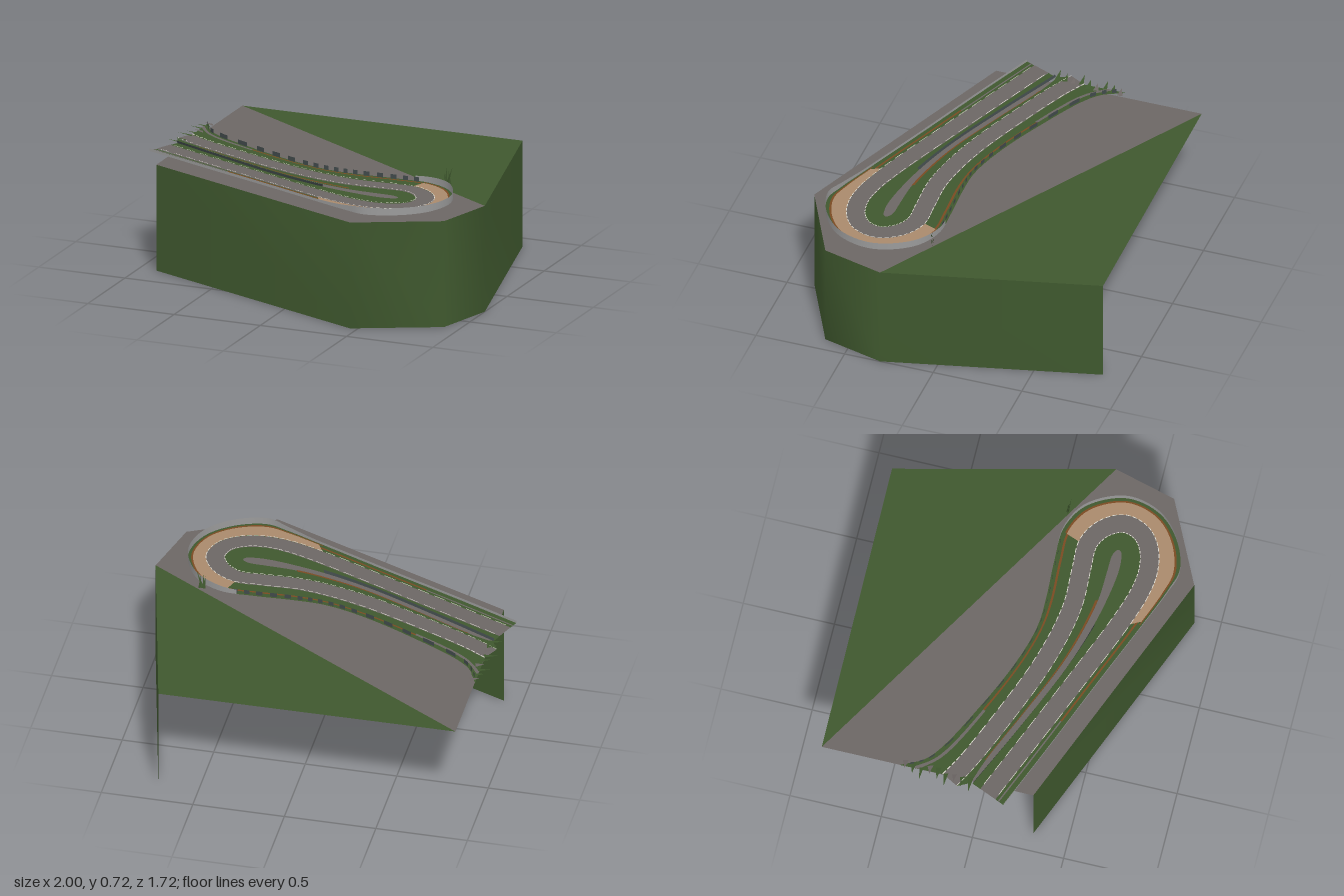
import * as THREE from 'three';

const mat = (name, color, side = THREE.DoubleSide) => {
  const m = new THREE.MeshStandardMaterial({ color, side });
  m.name = name;
  return m;
};

// Each row: road centre, outer verge edge, inner verge edge (x, z pairs)
const ROWS = [
  [-0.93, -0.14, -0.91, -0.42, -0.92, -0.03],
  [-0.8, -0.07, -0.83, -0.28, -0.77, 0.02],
  [-0.5, 0.06, -0.46, -0.07, -0.45, 0.16],
  [-0.2, 0.175, -0.15, 0.06, -0.15, 0.285],
  [0.02, 0.235, 0.04, 0.108, 0.05, 0.345],
  [0.2, 0.262, 0.2, 0.113, 0.25, 0.385],
  [0.4, 0.257, 0.42, 0.105, 0.42, 0.393],
  [0.55, 0.258, 0.6, 0.11, 0.51, 0.397],
  [0.65, 0.32, 0.75, 0.195, 0.54, 0.41],
  [0.7, 0.42, 0.845, 0.4, 0.55, 0.425],
  [0.67, 0.52, 0.8, 0.59, 0.54, 0.44],
  [0.59, 0.58, 0.67, 0.715, 0.5, 0.45],
  [0.47, 0.605, 0.5, 0.77, 0.44, 0.453],
  [0.34, 0.59, 0.38, 0.735, 0.32, 0.44],
  [0.15, 0.53, 0.17, 0.65, 0.1, 0.395],
  [-0.2, 0.39, -0.23, 0.485, -0.17, 0.31],
  [-0.6, 0.225, -0.64, 0.32, -0.56, 0.145],
  [-0.96, 0.075, -1, 0.17, -0.92, -0.02],
];
const LAST = ROWS.length - 1;
const HALF = 0.05;
const Y = 0.615;
const [centre, outer, inner] = [0, 2, 4].map(
  (i) => new THREE.CatmullRomCurve3(ROWS.map((r) => new THREE.Vector3(r[i], 0, r[i + 1])))
);

// Point on the track: row along it, k across it (0 centre, +-1 road edge, +-2 verge edge)
function at(row, k, y) {
  const t = Math.min(Math.max(row / LAST, 0), 1);
  const p = centre.getPoint(t);
  const d = centre.getTangent(t);
  const n = new THREE.Vector3(d.z, 0, -d.x);
  p.addScaledVector(n, HALF * Math.max(-1, Math.min(1, k)));
  if (k > 1) p.lerp(outer.getPoint(t), k - 1);
  if (k < -1) p.lerp(inner.getPoint(t), -k - 1);
  p.y = y;
  return p;
}

// Strip of quads between two point functions of the row
function strip(name, material, from, to, a, b) {
  const n = Math.max(1, Math.ceil((to - from) * 8));
  const pos = [];
  const idx = [];
  for (let i = 0; i <= n; i++) {
    const row = from + ((to - from) * i) / n;
    pos.push(...a(row).toArray(), ...b(row).toArray());
    const j = 2 * i;
    if (i < n) idx.push(j, j + 2, j + 1, j + 1, j + 2, j + 3);
  }
  return surface(name, material, pos, idx);
}

function surface(name, material, pos, idx) {
  const g = new THREE.BufferGeometry();
  g.setAttribute('position', new THREE.Float32BufferAttribute(pos, 3));
  g.setIndex(idx);
  g.computeVertexNormals();
  const mesh = new THREE.Mesh(g, material);
  mesh.name = name;
  return mesh;
}

export function createModel() {
  const root = new THREE.Group();
  root.name = 'raceTrackCorner';
  const grass = mat('grass green', 0x3f582e);
  const grey = mat('asphalt grey', 0x6c6664);
  const sand = mat('sand', 0xa98a6c);
  const kerb = mat('kerb brown', 0x7a4a22);
  const steel = mat('barrier grey', 0x9a9a9a);
  const white = mat('line white', 0xd8d6cc);
  const fenceMat = mat('fence dark', 0x40494a);

  // Ground plate: grey part and green back corner
  const top = 0.59;
  const rim = [[-0.9, 0.31], [0.46, 0.86], [0.91, 0.64], [1, 0.3], [0.72, -0.86], [-0.9, -0.85]];
  const plate = rim.flatMap(([x, z]) => [x, top, z]);
  root.add(surface('groundPlate', grey, plate, [5, 0, 1, 5, 1, 2, 5, 2, 3]));
  root.add(surface('grassCorner', grass, plate, [5, 3, 4]));

  // Open skirt wall around the front and right sides
  const wall = [];
  const wallIdx = [];
  rim.slice(0, 5).forEach(([x, z], i) => {
    wall.push(x, 0, z, x, top, z);
    const j = 2 * i;
    if (i < 4) wallIdx.push(j, j + 2, j + 1, j + 1, j + 2, j + 3);
  });
  root.add(surface('skirtWall', grass, wall, wallIdx));

  // Flat bands of the track
  const band = (name, m, from, to, k0, k1, lift = 0) =>
    root.add(strip(name, m, from, to, (r) => at(r, k1, Y + lift), (r) => at(r, k0, Y + lift)));
  band('road', grey, 0, LAST, -1, 1, 0.002);
  band('outerVerge', grass, 0, LAST, 1, 2);
  band('innerVerge', grass, 0, LAST, -2, -1);
  band('gravelTrap', sand, 6.9, 13.9, 1, 1.74, 0.003);
  band('bendKerb', kerb, 6.9, 14, 1.72, 1.82, 0.005);
  band('upperKerb', kerb, 1.9, 6.9, 1.62, 1.74, 0.003);
  band('upperPath', grey, 0, 1.9, 1.55, 1.72, 0.003);
  band('lowerKerb', kerb, 13.9, 15.6, 1.3, 1.5, 0.004);
  band('lowerPath', grey, 15.6, LAST, 1.3, 1.45, 0.003);
  band('innerKerb', kerb, 1, 5, -2, -1.8, 0.004);

  // Dashed white edge lines
  for (const s of [-1, 1]) {
    for (let r = 0; r < LAST - 0.1; r += 0.25) {
      band('edgeLine', white, r, r + 0.17, s * 0.95, s * 1.02, 0.006);
    }
  }

  // Guard barriers, taller round the bend
  const tall = (r) => 0.015 + 0.025 * THREE.MathUtils.smoothstep(r, 5, 8) * (1 - THREE.MathUtils.smoothstep(r, 12, 14));
  root.add(strip('outerBarrier', steel, 6.5, LAST, (r) => at(r, 2, Y), (r) => at(r, 2, Y + tall(r))));
  root.add(strip('middleBarrier', fenceMat, 14, LAST, (r) => at(r, -2, Y), (r) => at(r, -1.9, Y + 0.015)));

  // Short fence panels along the upper side
  for (let r = 0.2; r < 6.5; r += 0.35) {
    root.add(strip('fencePanel', fenceMat, r, r + 0.16, (q) => at(q, 1.9, Y), (q) => at(q, 1.9, Y + 0.024)));
  }

  // Ragged slivers at the cut end of the upper track
  for (let i = 0; i < 9; i++) {
    const z = -0.4 + i * 0.045;
    const x = -0.91 - (i > 4 ? 0.01 : 0);
    const out = 0.015 + 0.02 * (i % 3);
    const pos = [x + 0.04, Y, z + 0.02, x + 0.03, Y, z - 0.01, x - out, Y + 0.012, z + 0.01];
    root.add(surface('raggedEnd', i % 3 ? grass : grey, pos, [0, 1, 2]));
  }

  // Spiky grass tuft beside the bend
  const tuft = new THREE.Group();
  tuft.name = 'grassTuft';
  [[0.69, 0.7, 0.715], [0.7, 0.735, 0.72], [0.715, 0.71, 0.7], [0.695, 0.685, 0.69]].forEach(([x, tip, h], i) => {
    const z = 0.11 + 0.006 * (i % 2);
    tuft.add(surface('blade', grass, [x - 0.007, 0.62, z, x + 0.007, 0.62, z - 0.008, tip, h, z + 0.004], [0, 1, 2]));
  });
  root.add(tuft);
  return root;
}
